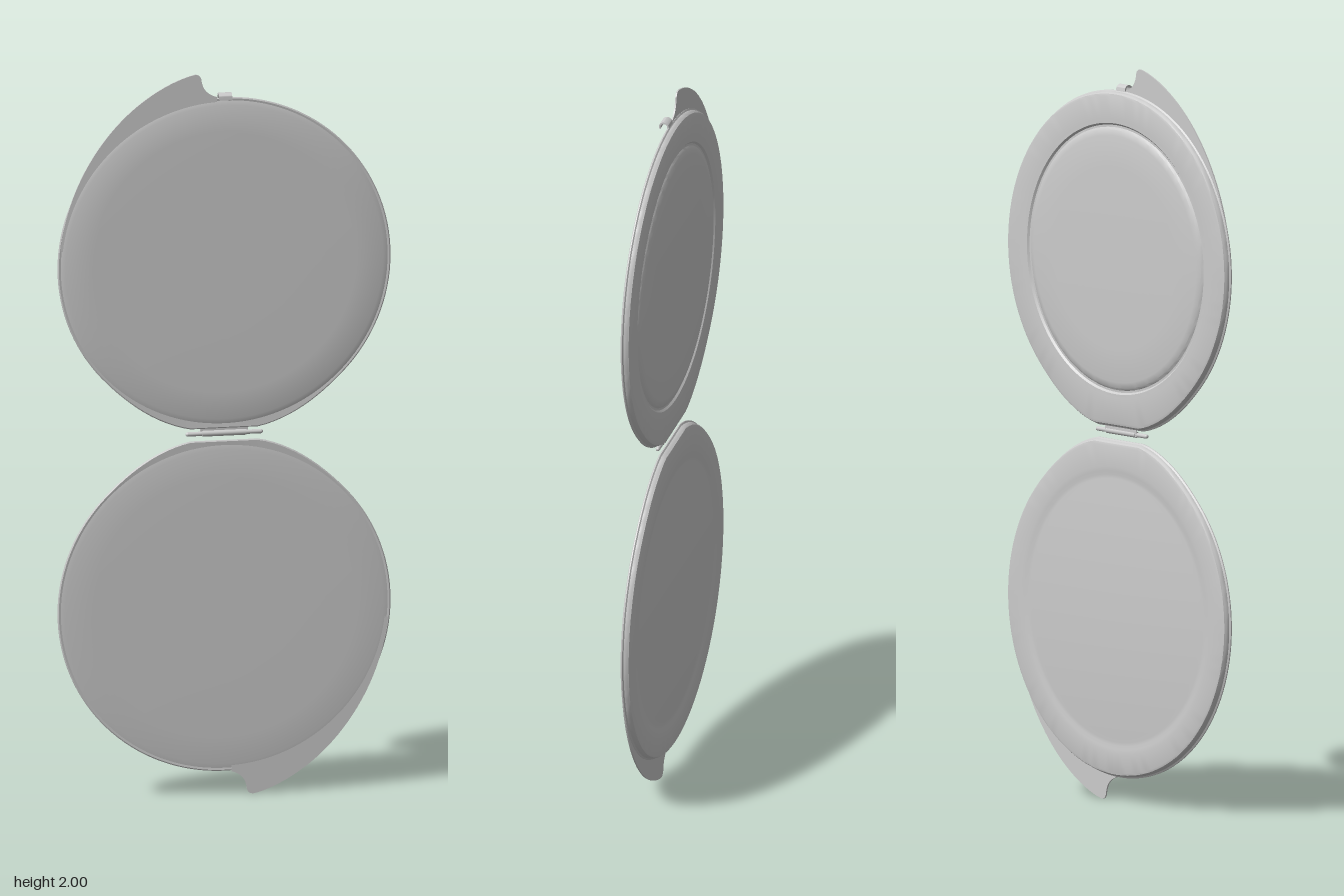
import * as THREE from 'three';
import { toCreasedNormals } from 'three/addons/utils/BufferGeometryUtils.js';

const MID = 1.0;      // height of the hinge line
const OFFSET = 0.478; // hinge line to the centre of each shell
const SEG = 128;

const material = () => new THREE.MeshStandardMaterial({ color: 0xcccccc, side: THREE.DoubleSide });

function add(parent, name, geometry, x = 0, y = 0, z = 0) {
  const mesh = new THREE.Mesh(geometry, material());
  mesh.name = name;
  mesh.position.set(x, y, z);
  parent.add(mesh);
  return mesh;
}

// Extra radius around the hinge edge, at angle a from straight down
function flare(a) {
  a = Math.abs(a);
  if (a < 0.2) return 0.461 / Math.cos(a) - 0.456;
  return 0.0144 * (1 - THREE.MathUtils.smoothstep(a, 0.2, 0.8));
}

// Sweep a profile of [radius, z, flare weight], running from the front centre to the back centre
function loft(profile) {
  const pos = [], index = [];
  profile.forEach(([r, z, w]) => {
    for (let j = 0; j < SEG; j++) {
      const a = (j / SEG) * Math.PI * 2;
      const d = a > Math.PI ? a - Math.PI * 2 : a;
      const rad = r + w * flare(d);
      pos.push(rad * Math.sin(a), -rad * Math.cos(a), z);
    }
  });
  for (let i = 0; i < profile.length - 1; i++) {
    for (let j = 0; j < SEG; j++) {
      const k = (j + 1) % SEG;
      const a = i * SEG + j, b = a + SEG, c = (i + 1) * SEG + k, d = i * SEG + k;
      if (profile[i + 1][0] > 0) index.push(a, b, c);
      if (profile[i][0] > 0) index.push(a, c, d);
    }
  }
  const g = new THREE.BufferGeometry();
  g.setAttribute('position', new THREE.Float32BufferAttribute(pos, 3));
  g.setIndex(index);
  return toCreasedNormals(g, 0.6);
}

// Thin crescent lever that sticks out beyond the rim, with a thumb lip
function leverGeometry() {
  const s = new THREE.Shape();
  s.moveTo(-0.449, 0.05);
  s.bezierCurveTo(-0.43, 0.22, -0.34, 0.36, -0.24, 0.44);
  s.bezierCurveTo(-0.19, 0.48, -0.13, 0.512, -0.08, 0.522);
  s.quadraticCurveTo(-0.064, 0.522, -0.062, 0.505);
  s.quadraticCurveTo(-0.057, 0.468, -0.02, 0.458);
  s.lineTo(-0.02, 0.42);
  s.absarc(0, 0, 0.42, Math.PI / 2 + 0.05, Math.PI - 0.1, false);
  const g = new THREE.ExtrudeGeometry(s, { depth: 0.004, bevelEnabled: false, curveSegments: 24 });
  return toCreasedNormals(g.translate(0, 0, -0.001), 0.6);
}

function half(name, backProfile, frontZ) {
  const group = new THREE.Group();
  group.name = name;
  // Rim and back
  add(group, name + 'Case', loft([
    [0.447, -0.002, 0], [0.447, 0.002, 0], [0.453, 0.003, 1], [0.456, 0.001, 1], [0.456, -0.002, 1],
    [0.452, -0.005, 1], [0.45, -0.014, 1], [0.447, -0.018, 1], [0.441, -0.02, 0.9],
    ...backProfile,
  ]));
  // Slightly domed front disc
  add(group, name + 'Mirror', loft([
    [0, frontZ, 0], [0.2, frontZ - 0.0005, 0], [0.36, frontZ - 0.001, 0], [0.435, frontZ - 0.002, 0],
    [0.448, 0.002, 0], [0.45, -0.001, 0],
  ]));
  add(group, name + 'Lever', leverGeometry());
  return group;
}

export function createModel() {
  const model = new THREE.Group();
  model.name = 'compactMirror';

  // Upper half: recessed groove around a domed medallion on the back
  const upper = half('upper', [
    [0.38, -0.0195, 0], [0.368, -0.019, 0], [0.363, -0.014, 0], [0.357, -0.014, 0],
    [0.351, -0.019, 0], [0.335, -0.0225, 0], [0.25, -0.0245, 0], [0.13, -0.026, 0], [0, -0.0265, 0],
  ], 0.008);
  upper.position.y = MID + OFFSET;
  model.add(upper);

  // Lower half: same case turned upside down, shallow pressed ring on the back
  const lower = half('lower', [
    [0.39, -0.0195, 0], [0.378, -0.019, 0], [0.368, -0.0172, 0], [0.358, -0.0172, 0],
    [0.346, -0.0185, 0], [0, -0.0185, 0],
  ], 0.006);
  lower.position.y = MID - OFFSET;
  lower.rotation.z = Math.PI;
  model.add(lower);

  // Hinge: pin with rounded ends, wider knuckle and leaf
  const hinge = new THREE.Group();
  hinge.name = 'hinge';
  hinge.position.set(0, MID + 0.004, 0.003);
  model.add(hinge);
  add(hinge, 'hingePin', new THREE.CapsuleGeometry(0.006, 0.2, 6, 16)).rotation.z = Math.PI / 2;
  add(hinge, 'hingeKnuckle', new THREE.CylinderGeometry(0.008, 0.008, 0.12, 20)).rotation.z = Math.PI / 2;
  add(hinge, 'hingeLeaf', new THREE.BoxGeometry(0.13, 0.022, 0.003), 0, 0.006, -0.004);

  // Clasp: a small strip curling forward from the top rim
  const hook = new THREE.Shape();
  hook.moveTo(-0.006, -0.012);
  hook.lineTo(-0.006, 0.004);
  hook.absarc(0.008, 0.004, 0.014, Math.PI, -0.35, true);
  hook.lineTo(0.0175, -0.002);
  hook.absarc(0.008, 0.004, 0.0095, -0.35, Math.PI, false);
  hook.lineTo(-0.0015, -0.012);
  const hookGeo = new THREE.ExtrudeGeometry(hook, { depth: 0.036, bevelEnabled: false, curveSegments: 16 });
  hookGeo.translate(0, 0, -0.018).rotateY(-Math.PI / 2);
  add(model, 'claspHook', toCreasedNormals(hookGeo, 0.6), 0, 1.932, 0.003);

  return model;
}
